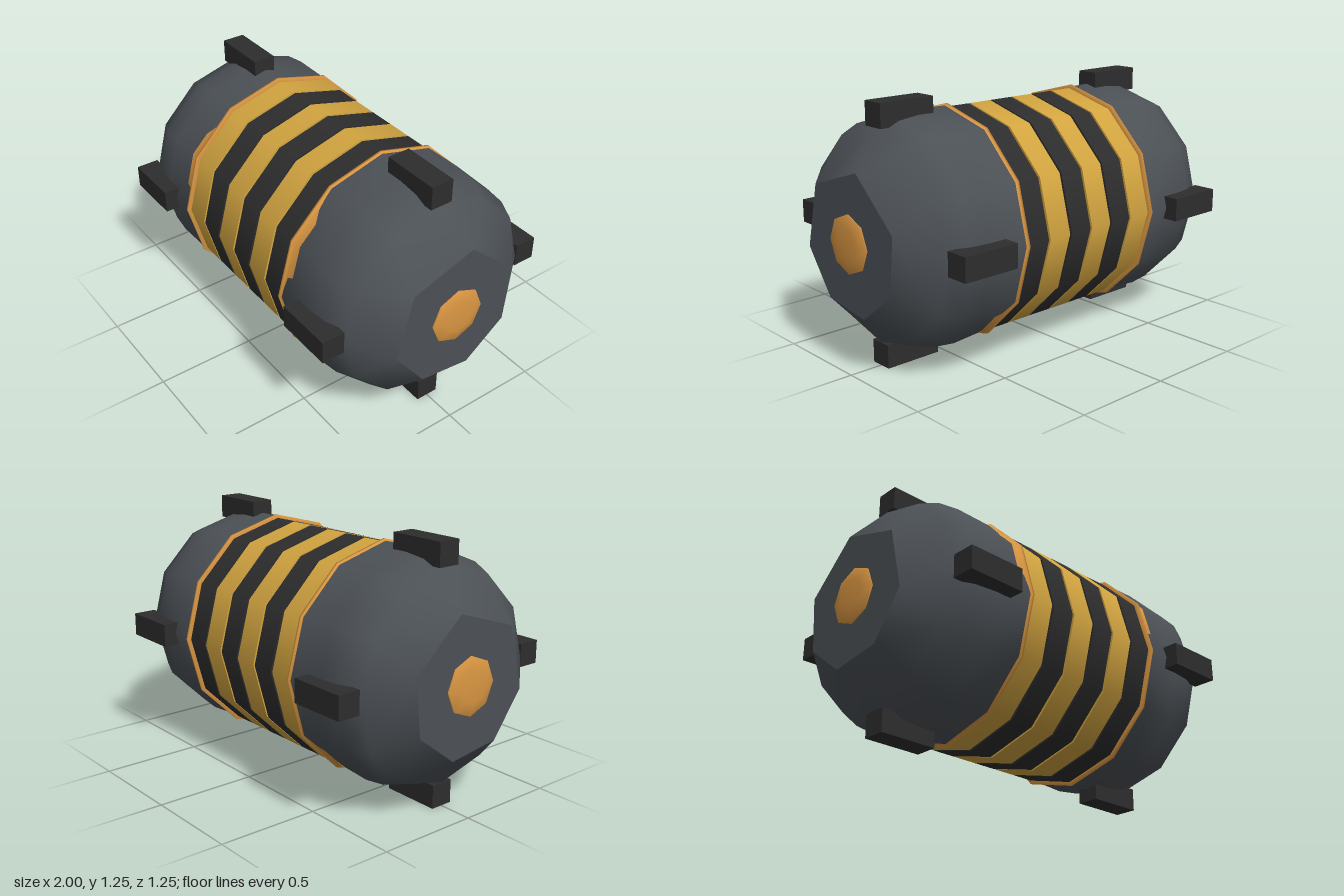
import * as THREE from 'three';
import { mergeVertices } from 'three/addons/utils/BufferGeometryUtils.js';

const SIDES = 12;
const AXIS_Y = 0.625;
const rad = THREE.MathUtils.degToRad;

const mat = (name, color, side = THREE.FrontSide) => {
  const m = new THREE.MeshStandardMaterial({ color, side });
  m.name = name;
  return m;
};

// Point at an angle around the barrel axis (0 = front, 90 = up)
const around = (x, r, deg) => [x, r * Math.sin(rad(deg)), r * Math.cos(rad(deg))];

// Irregular seven-sided flat end
const END_ANGLES = [42, 101.5, 161.5, 210, 254.5, 300.5, 346];
const END_X = 0.98, END_R = 0.345;
const angleGap = (a, b) => Math.abs(((a - b + 540) % 360) - 180);
const nearestEnd = (deg) =>
  END_ANGLES.reduce((best, a) => (angleGap(a, deg) < angleGap(best, deg) ? a : best));

function buildGeometry(points, faces, side) {
  const geo = new THREE.BufferGeometry();
  const pos = points.flatMap(([x, y, z]) => [x * side, y, z]);
  geo.setAttribute('position', new THREE.Float32BufferAttribute(pos, 3));
  geo.setIndex(faces.flatMap(([a, b, c]) => (side > 0 ? [a, b, c] : [a, c, b])));
  const welded = mergeVertices(geo, 1e-4);
  welded.computeVertexNormals();
  return welded;
}

// Rounded end shell: twelve-sided sections collapsing onto the flat end
function domeGeometry(side) {
  const rows = [[0.418, 0.56], [0.62, 0.563], [0.73, 0.55], [0.83, 0.507]];
  const points = [], faces = [];
  rows.forEach(([x, r], i) => {
    for (let j = 0; j < SIDES; j++) {
      const deg = j * 30;
      const notch = i === 0 && (deg === 30 || deg === 240); // notches that bare the ring
      points.push(notch ? around(0.455, 0.552, deg) : around(x, r, deg));
    }
  });
  for (let j = 0; j < SIDES; j++) points.push(around(END_X, END_R, nearestEnd(j * 30)));
  for (let i = 0; i < rows.length; i++) {
    for (let j = 0; j < SIDES; j++) {
      const k = (j + 1) % SIDES;
      const a = i * SIDES + j, b = a + SIDES, c = i * SIDES + k, d = c + SIDES;
      faces.push([a, b, c], [b, d, c]);
    }
  }
  return buildGeometry(points, faces, side);
}

function endPlateGeometry(side) {
  const n = END_ANGLES.length;
  const points = [[END_X, 0, 0], ...END_ANGLES.map((a) => around(END_X, END_R, a))];
  const faces = END_ANGLES.map((_, i) => [0, 1 + ((i + 1) % n), 1 + i]);
  return buildGeometry(points, faces, side);
}

// Lathe about the x axis from [x, radius] pairs
function latheX(profile, sides) {
  const geo = new THREE.LatheGeometry(profile.map(([x, r]) => new THREE.Vector2(r, x)), sides);
  return geo.rotateZ(-Math.PI / 2);
}

export function createModel() {
  const model = new THREE.Group();
  model.name = 'barrel';
  const shell = mat('slate grey', 0x4c5156, THREE.DoubleSide);
  const gold = mat('gold', 0xd2a440);
  const orange = mat('orange', 0xd99642, THREE.DoubleSide);
  const black = mat('black', 0x2d2d2d);

  const body = new THREE.Group();
  body.name = 'body';
  body.position.y = AXIS_Y;
  model.add(body);
  const add = (name, geo, material) => {
    const mesh = new THREE.Mesh(geo, material);
    mesh.name = name;
    body.add(mesh);
    return mesh;
  };

  // Alternating bands with narrow gaps
  const pitch = 0.136, width = 0.125;
  for (let i = 0; i < 6; i++) {
    const geo = new THREE.CylinderGeometry(0.553, 0.553, width, SIDES).rotateZ(Math.PI / 2);
    const isGold = i % 2 === 0;
    add(isGold ? 'goldBand' : 'blackBand', geo, isGold ? gold : black).position.x = (i - 2.5) * pitch;
  }

  for (const side of [1, -1]) {
    const label = side > 0 ? 'left' : 'right';
    const turn = side > 0 ? 0 : Math.PI;

    // Rounded end and its flat plate
    add(label + 'Dome', domeGeometry(side), shell);
    add(label + 'EndPlate', endPlateGeometry(side), shell);

    // Ring between the bands and the dome
    const ring = latheX([[0.408, 0.545], [0.408, 0.57], [0.42, 0.57], [0.424, 0.557], [0.465, 0.557]], SIDES);
    add(label + 'Ring', ring, orange).rotation.y = turn;

    // Low eight-sided hub
    const hub = latheX([[0.975, 0.14], [0.988, 0.14], [1.0, 0.08], [1.0, 0]], 8);
    add(label + 'Hub', hub, orange).rotation.y = turn;

    // Four blocks around each dome
    for (let q = 0; q < 4; q++) {
      const block = add(label + 'Block', new THREE.BoxGeometry(0.295, 0.115, 0.115), black);
      block.position.set(side * 0.683, ...around(0, 0.5675, q * 90).slice(1));
    }
  }
  return model;
}
